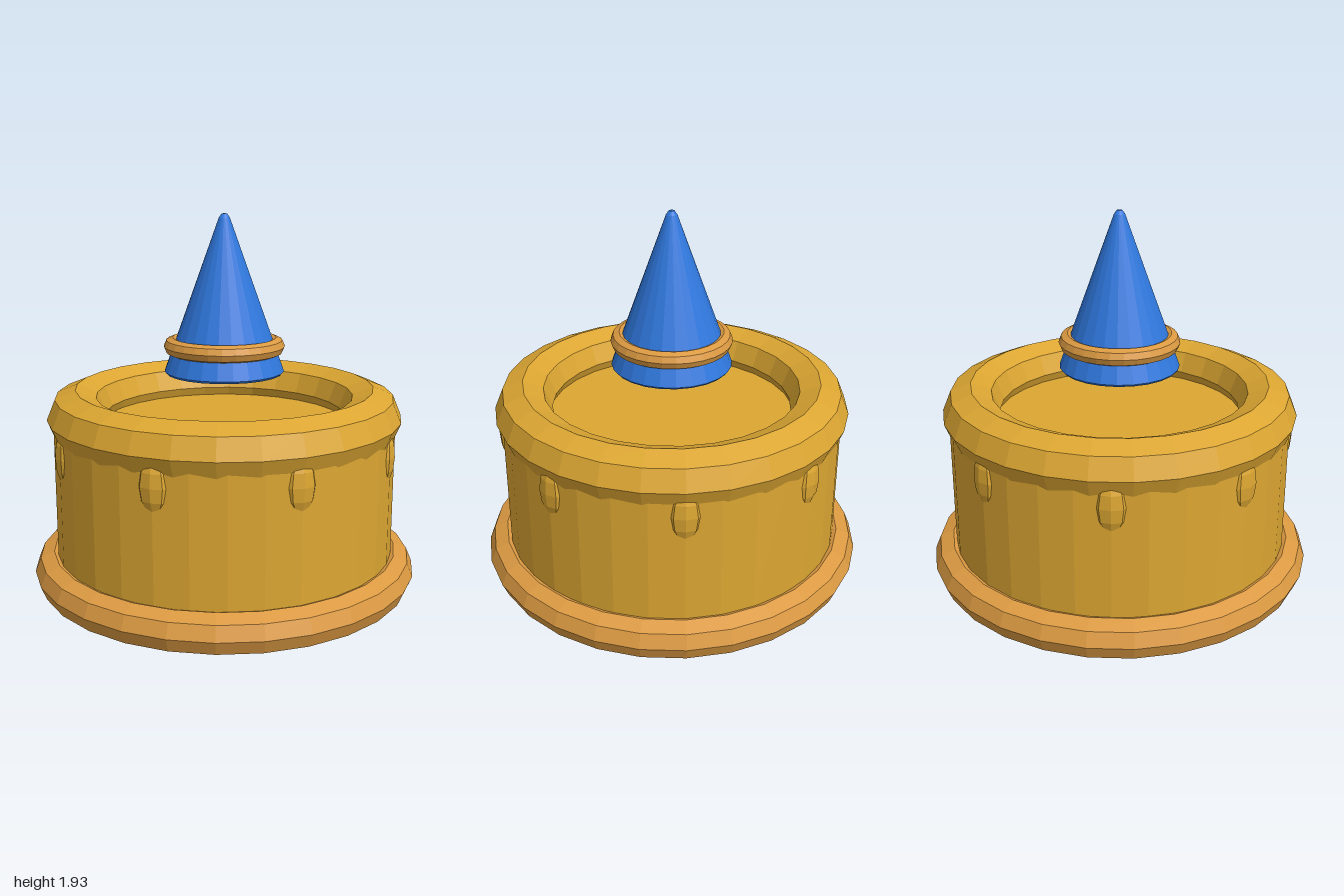
import * as THREE from 'three';

const flat = (name, color) => {
  const m = new THREE.MeshStandardMaterial({ color });
  m.name = name;
  m.flatShading = true;
  return m;
};

export function createModel() {
  const gold = flat('gold', 0xdca632);
  const orange = flat('orange', 0xdc9a42);
  const blue = flat('blue', 0x2f78de);

  const model = new THREE.Group();
  model.name = 'cake';

  const add = (name, geometry, material, y = 0) => {
    const mesh = new THREE.Mesh(geometry, material);
    mesh.name = name;
    mesh.position.y = y;
    model.add(mesh);
    return mesh;
  };
  // Horizontal eight-sided ring
  const ring = (radius, tube) =>
    new THREE.TorusGeometry(radius, tube, 8, 28).rotateX(Math.PI / 2);

  // Cake body with rolled rims at base and top
  add('body', new THREE.CylinderGeometry(0.88, 0.88, 0.72, 32), gold, 0.5);
  add('baseRim', ring(0.9, 0.1), orange, 0.1);
  add('topRim', ring(0.765, 0.147), gold, 0.905);

  // Icing drips around the side
  const dripGeometry = new THREE.SphereGeometry(1, 8, 6).scale(0.08, 0.135, 0.047);
  for (let i = 0; i < 8; i++) {
    const a = (i * Math.PI) / 4;
    const drip = add('drip', dripGeometry, gold, 0.76);
    drip.position.x = Math.sin(a) * 0.855;
    drip.position.z = Math.cos(a) * 0.855;
    drip.rotation.y = a;
  }

  // Floating cone with softened edges, and its collar
  const profile = [
    [0, 1.12], [0.298, 1.12], [0.308, 1.132], [0.028, 1.905], [0.014, 1.925], [0, 1.927],
  ].map(([x, y]) => new THREE.Vector2(x, y));
  add('cone', new THREE.LatheGeometry(profile, 24), blue);
  add('coneCollar', ring(0.265, 0.045), orange, 1.26);

  return model;
}
